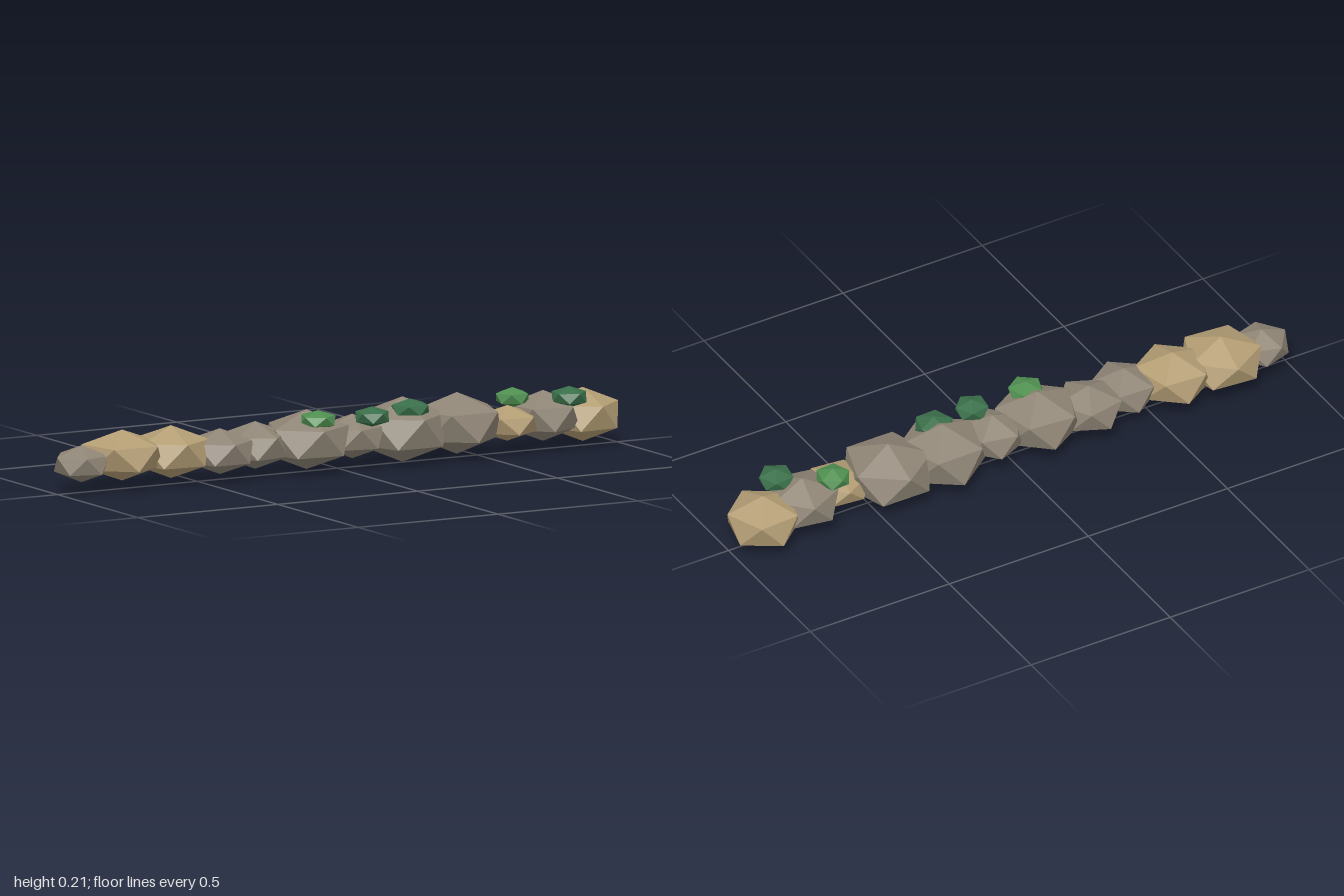
import * as THREE from 'three';

export function createModel() {
  const model = new THREE.Group();
  model.name = 'mossyStoneRow';

  const mat = (name, color) => {
    const m = new THREE.MeshStandardMaterial({ color, flatShading: true });
    m.name = name;
    return m;
  };
  const grey = mat('grey stone', 0x8f8576);
  const tan = mat('tan stone', 0xb39d74);
  const moss = mat('light moss', 0x4f8f50);
  const darkMoss = mat('dark moss', 0x3a6f4a);

  // Icosahedron standing on a corner, with one upper corner turned to +x
  const gem = new THREE.IcosahedronGeometry(1, 0);
  gem.rotateZ(-Math.atan(2 / (1 + Math.sqrt(5))));
  const p = gem.attributes.position;
  let turn = 0;
  for (let i = 0; i < p.count; i++) {
    if (p.getY(i) > 0.3 && p.getY(i) < 0.6) turn = Math.atan2(p.getZ(i), p.getX(i));
  }
  gem.rotateY(turn);

  // ring: radius of the corner rings; yaw: degrees from +x towards +z
  function addGem(name, material, [x, y, z, ring, ry, yaw]) {
    const mesh = new THREE.Mesh(gem, material);
    mesh.name = name;
    mesh.position.set(x, y, z);
    mesh.scale.set(ring / 0.894, ry, ring / 0.894);
    mesh.rotation.y = -THREE.MathUtils.degToRad(yaw);
    model.add(mesh);
  }

  // Flattened stones from the right end to the left end
  const stones = [
    [grey, -0.915, 0.094, 0.0, 0.086, 0.058, 180],
    [tan, -0.762, 0.107, -0.013, 0.127, 0.08, -85],
    [tan, -0.59, 0.104, -0.008, 0.12, 0.083, -50],
    [grey, -0.43, 0.096, 0.018, 0.104, 0.072, 20],
    [grey, -0.286, 0.099, -0.014, 0.106, 0.075, -65],
    [grey, -0.115, 0.106, 0.008, 0.133, 0.094, 95],
    [grey, 0.05, 0.102, 0.005, 0.1, 0.07, 30],
    [grey, 0.235, 0.107, -0.004, 0.137, 0.103, -55],
    [grey, 0.43, 0.11, -0.005, 0.14, 0.097, -90],
    [tan, 0.596, 0.1, 0.02, 0.095, 0.056, 60],
    [grey, 0.738, 0.108, -0.005, 0.113, 0.08, -80],
    [tan, 0.888, 0.098, -0.02, 0.115, 0.085, 14],
  ];
  stones.forEach(([m, ...s], i) => addGem('stone' + (i + 1), m, s));

  // Small moss clumps on top
  const clumps = [
    [moss, -0.108, 0.174, 0.067, 0.056, 0.031, 20],
    [darkMoss, 0.083, 0.17, 0.072, 0.054, 0.032, 80],
    [darkMoss, 0.235, 0.178, 0.045, 0.06, 0.032, -20],
    [moss, 0.64, 0.17, -0.026, 0.053, 0.032, 50],
    [darkMoss, 0.795, 0.171, 0.058, 0.056, 0.034, 10],
  ];
  clumps.forEach(([m, ...s], i) => addGem('mossClump' + (i + 1), m, s));

  return model;
}
